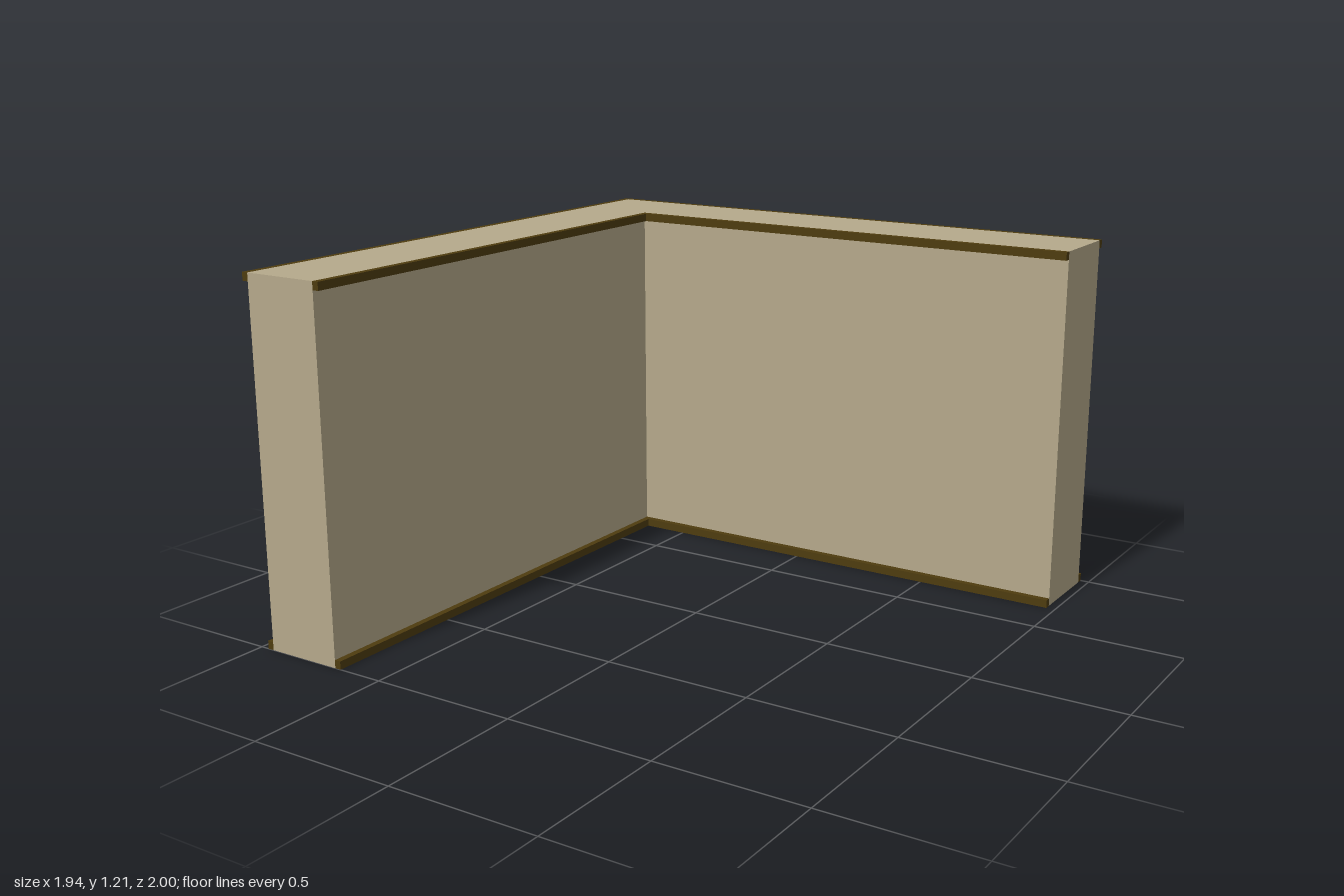
import * as THREE from 'three';

// Plan outline given as [x, z] points, extruded upward from y = bottom
function slab(name, outline, bottom, height, material) {
  const shape = new THREE.Shape(outline.map(([x, z]) => new THREE.Vector2(x, z)));
  const geometry = new THREE.ExtrudeGeometry(shape, { depth: height, bevelEnabled: false });
  geometry.rotateX(Math.PI / 2);
  geometry.translate(0, bottom + height, 0);
  const mesh = new THREE.Mesh(geometry, material);
  mesh.name = name;
  return mesh;
}

// L-shaped plan between an outer corner and an inner corner
function lShape([x0, z0], [x1, z1]) {
  const endX = 0.97, endZ = 1;
  return [[x0, z0], [endX, z0], [endX, z1], [x1, z1], [x1, endZ], [x0, endZ]];
}

export function createModel() {
  const plaster = new THREE.MeshStandardMaterial({ color: 0xb5a98b });
  plaster.name = 'tan plaster';
  const wood = new THREE.MeshStandardMaterial({ color: 0x4e3c0f });
  wood.name = 'dark brown trim';

  const model = new THREE.Group();
  model.name = 'cornerWall';

  const height = 1.21, trimHeight = 0.027;
  const outer = [-0.948, -0.978], inner = [-0.68, -0.702];

  // Corner wall
  model.add(slab('wall', lShape(outer, inner), 0, height, plaster));

  // Skirting at the foot and moulding at the top, along both faces
  for (const [level, y] of [['bottom', 0], ['top', height - trimHeight]]) {
    model.add(slab(level + 'OuterTrim', lShape([-0.97, -1], outer), y, trimHeight, wood));
    model.add(slab(level + 'InnerTrim', lShape(inner, [-0.658, -0.68]), y, trimHeight, wood));
  }
  return model;
}
